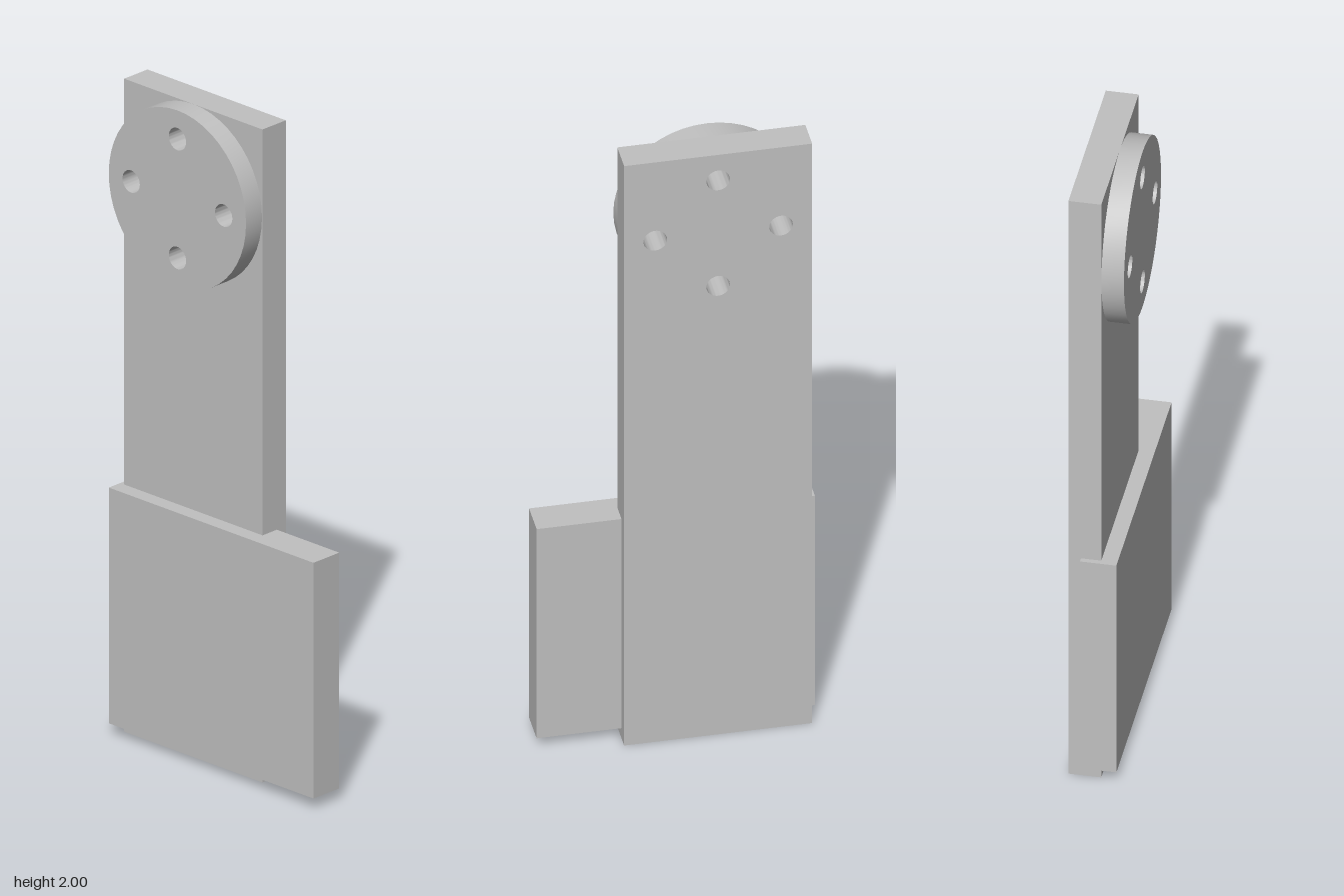
import * as THREE from 'three';
import { toCreasedNormals } from 'three/addons/utils/BufferGeometryUtils.js';

const HUB_Y = 1.73, HUB_Z = -0.115, HUB_R = 0.27;
const BOLT_R = 0.182, HOLE_R = 0.034;

// Drill the four bolt holes; shapes are drawn with horizontal = -z, vertical = y
function drill(shape) {
  for (let i = 0; i < 4; i++) {
    const a = i * Math.PI / 2;
    const hole = new THREE.Path();
    hole.absarc(-HUB_Z + BOLT_R * Math.cos(a), HUB_Y + BOLT_R * Math.sin(a), HOLE_R, 0, Math.PI * 2, true);
    shape.holes.push(hole);
  }
  return shape;
}

// Extrude a side-view shape along x from x0 to x1
function slab(name, shape, x0, x1, material) {
  let geo = new THREE.ExtrudeGeometry(shape, { depth: x1 - x0, bevelEnabled: false, curveSegments: 24 });
  geo.rotateY(Math.PI / 2).translate(x0, 0, 0);
  geo = toCreasedNormals(geo, 0.6);
  const mesh = new THREE.Mesh(geo, material);
  mesh.name = name;
  return mesh;
}

export function createModel() {
  const group = new THREE.Group();
  group.name = 'mountingArm';
  const grey = new THREE.MeshStandardMaterial({ color: 0xc0c0c0 });
  grey.name = 'plain grey';

  // Tall upright plate with bolt holes
  const outline = new THREE.Shape();
  outline.moveTo(-0.157, 0);
  outline.lineTo(0.387, 0);
  outline.lineTo(0.387, 2);
  outline.lineTo(-0.157, 2);
  outline.closePath();
  group.add(slab('uprightPlate', drill(outline), -0.016, 0.079, grey));

  // Round flange on the plate's right side, sharing the bolt holes
  const disc = new THREE.Shape();
  disc.absarc(-HUB_Z, HUB_Y, HUB_R, 0, Math.PI * 2, false);
  group.add(slab('roundFlange', drill(disc), -0.081, -0.016, grey));

  // Wide block set into the foot of the plate
  const block = new THREE.Mesh(new THREE.BoxGeometry(0.105, 0.722, 0.805), grey);
  block.name = 'footBlock';
  block.position.set(-0.01, 0.396, 0);
  group.add(block);

  return group;
}
